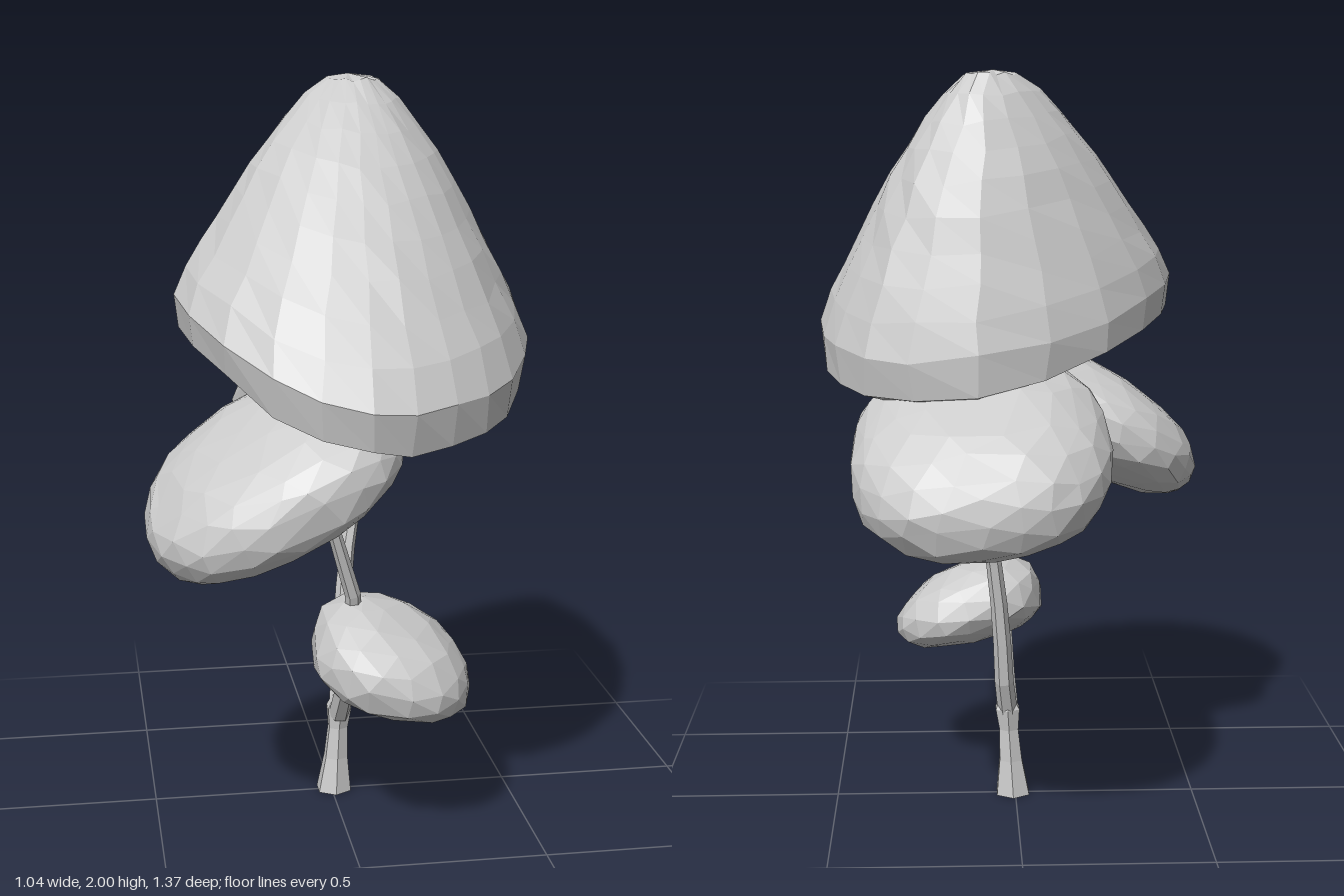
import * as THREE from 'three';
import { mergeVertices } from 'three/addons/utils/BufferGeometryUtils.js';

const material = new THREE.MeshStandardMaterial({ color: 0xcccccc, flatShading: true });

const V = (x, y, z) => new THREE.Vector3(x, y, z);

function seeded(seed) {
  return () => {
    seed = (seed * 16807) % 2147483647;
    return seed / 2147483647 - 0.5;
  };
}

function addMesh(parent, name, geometry) {
  const flat = geometry.index ? geometry.toNonIndexed() : geometry;
  flat.computeVertexNormals();
  const mesh = new THREE.Mesh(flat, material);
  mesh.name = name;
  parent.add(mesh);
  return mesh;
}

// Faceted ball whose vertices are spread a little unevenly, then moved by a rule
function facetedBall(ball, seed, unevenness, rule) {
  ball.deleteAttribute('normal');
  ball.deleteAttribute('uv');
  const geo = mergeVertices(ball, 1e-3);
  const random = seeded(seed);
  const pos = geo.attributes.position;
  const p = V(0, 0, 0);
  for (let i = 0; i < pos.count; i++) {
    p.fromBufferAttribute(pos, i);
    p.add(V(random(), random(), random()).multiplyScalar(unevenness)).normalize();
    p.copy(rule(p));
    p.add(V(random(), random(), random()).multiplyScalar(0.008));
    pos.setXYZ(i, p.x, p.y, p.z);
  }
  return geo;
}

// Crown: a leaning cone with a wavy rounded rim and a shallow hollow underneath
function crownGeometry() {
  const apex = V(0.07, 2.0, -0.11);
  const rim = new THREE.CatmullRomCurve3([
    V(0.525, 1.29, 0), V(0.48, 1.26, 0.24), V(0.36, 1.22, 0.5), V(0.2, 1.2, 0.64),
    V(0.02, 1.2, 0.69), V(-0.17, 1.24, 0.64), V(-0.35, 1.35, 0.43), V(-0.435, 1.41, 0.14),
    V(-0.38, 1.39, -0.08), V(-0.2, 1.32, -0.3), V(0.1, 1.25, -0.435),
    V(0.36, 1.24, -0.38), V(0.49, 1.26, -0.19),
  ], true);
  // x = spread from the apex axis, y = height between rim and apex
  const profile = new THREE.SplineCurve([
    [0, 1], [0.15, 0.985], [0.3, 0.89], [0.52, 0.69], [0.7, 0.48], [0.87, 0.26], [0.97, 0.12],
    [1, 0.02], [0.98, -0.05], [0.91, -0.09], [0.8, -0.075], [0.5, 0], [0, 0.03],
  ].map(([s, h]) => new THREE.Vector2(s, h)));
  return facetedBall(new THREE.SphereGeometry(1, 22, 18), 11, 0.025, (d) => {
    const turn = Math.atan2(d.z, d.x) / (2 * Math.PI);
    const edge = rim.getPoint((turn + 1) % 1);
    const q = profile.getPointAt(Math.acos(THREE.MathUtils.clamp(d.y, -1, 1)) / Math.PI);
    return V(
      apex.x + (edge.x - apex.x) * q.x,
      edge.y + (apex.y - edge.y) * q.y,
      apex.z + (edge.z - apex.z) * q.x,
    );
  });
}

// Flattened, slightly boxy leaf clump with a flat underside; taper thins it towards +x
function clumpGeometry(detail, seed, [rx, ry, rz], taper) {
  const swell = (v, power) => Math.sign(v) * Math.pow(Math.abs(v), power);
  return facetedBall(new THREE.IcosahedronGeometry(1, detail), seed, 0.12, (d) => {
    const y = d.y < 0 ? swell(d.y, 0.7) * 0.8 : d.y;
    return V(swell(d.x, 0.84) * rx, y * ry * (1 - taper * d.x), swell(d.z, 0.84) * rz);
  });
}

// Tapered six-sided limb along a curve
function limbGeometry(points, startRadius, endRadius) {
  const curve = new THREE.CatmullRomCurve3(points);
  const rings = 7, sides = 6;
  const geo = new THREE.TubeGeometry(curve, rings, 1, sides, false);
  const pos = geo.attributes.position;
  const p = V(0, 0, 0);
  for (let i = 0; i < pos.count; i++) {
    const t = Math.floor(i / (sides + 1)) / rings;
    const centre = curve.getPointAt(t);
    p.fromBufferAttribute(pos, i).sub(centre);
    p.multiplyScalar(THREE.MathUtils.lerp(startRadius, endRadius, t)).add(centre);
    pos.setXYZ(i, p.x, p.y, p.z);
  }
  return geo;
}

export function createModel() {
  const tree = new THREE.Group();
  tree.name = 'tree';

  // Trunk: flared foot, slim waist, swelling at the fork
  const trunkProfile = [[0, 0], [0.052, 0], [0.036, 0.1], [0.03, 0.19], [0.038, 0.25], [0.022, 0.28], [0, 0.29]];
  const trunk = new THREE.LatheGeometry(trunkProfile.map(([r, y]) => new THREE.Vector2(r, y)), 6);
  const pos = trunk.attributes.position;
  for (let i = 0; i < pos.count; i++) pos.setX(i, pos.getX(i) + 0.007 + pos.getY(i) * 0.06);
  addMesh(tree, 'trunk', trunk);

  // Branches
  addMesh(tree, 'frontBranch', limbGeometry(
    [V(0.02, 0.23, 0.01), V(0.025, 0.29, 0.045), V(0.03, 0.42, 0.14), V(0.03, 0.62, 0.22), V(-0.02, 0.8, 0.26), V(-0.08, 1.0, 0.305)],
    0.03, 0.015));
  addMesh(tree, 'backBranch', limbGeometry(
    [V(0.02, 0.23, 0.0), V(0.03, 0.31, -0.035), V(0.045, 0.55, -0.075), V(0.08, 0.8, -0.115), V(0.15, 1.03, -0.17)],
    0.028, 0.016));

  // Foliage: name, detail, seed, radii, centre, tilt, taper
  addMesh(tree, 'crown', crownGeometry());
  const clumps = [
    ['frontClump', 3, 23, [0.36, 0.16, 0.335], [-0.2, 1.015, 0.3], [0.24, 0, 0.5], -0.08],
    ['backClump', 3, 37, [0.335, 0.175, 0.36], [0.1, 1.045, -0.345], [-0.46, 0, -0.08], 0],
    ['lowClump', 2, 51, [0.22, 0.128, 0.235], [0.125, 0.478, 0.24], [0.22, 0, -0.32], 0.22],
  ];
  for (const [name, detail, seed, radii, centre, tilt, taper] of clumps) {
    const clump = addMesh(tree, name, clumpGeometry(detail, seed, radii, taper));
    clump.position.set(...centre);
    clump.rotation.set(...tilt);
  }
  return tree;
}
